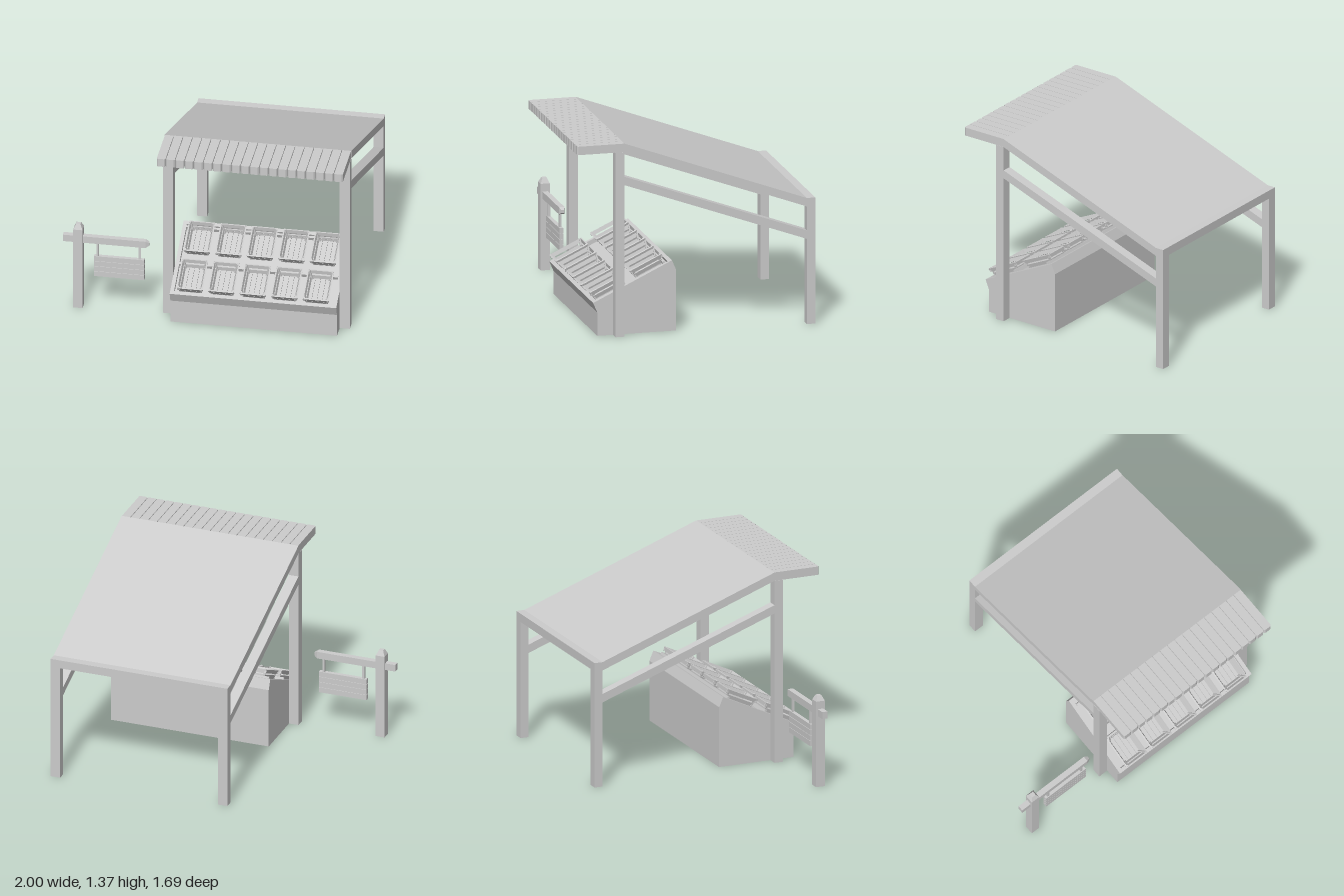
import * as THREE from 'three';

const mat = new THREE.MeshStandardMaterial({ color: 0xcccccc, flatShading: true });

function mesh(parent, name, geo) {
  const m = new THREE.Mesh(geo, mat);
  m.name = name;
  parent.add(m);
  return m;
}

// Box given by its limits on each axis
function block(parent, name, x0, x1, y0, y1, z0, z1) {
  const m = mesh(parent, name, new THREE.BoxGeometry(x1 - x0, y1 - y0, z1 - z0));
  m.position.set((x0 + x1) / 2, (y0 + y1) / 2, (z0 + z1) / 2);
  return m;
}

// Side profile of [z, y] points extruded from x0 to x1
function profile(parent, name, pts, x0, x1) {
  const shape = new THREE.Shape(pts.map(([z, y]) => new THREE.Vector2(-z, y)));
  const geo = new THREE.ExtrudeGeometry(shape, { depth: x1 - x0, bevelEnabled: false });
  geo.rotateY(Math.PI / 2).translate(x0, 0, 0);
  return mesh(parent, name, geo);
}

const L = -0.305, R = 0.995, POST = 0.07;
const SLOPE = Math.atan2(0.265, 0.56);
const surfaceY = z => 0.235 + (0.715 - z) * Math.tan(SLOPE);

function buildShelter() {
  const g = new THREE.Group();
  g.name = 'shelter';
  for (const x of [L, R - POST]) {
    block(g, 'frontPost', x, x + POST, 0, 1.31, 0.51, 0.575);
    block(g, 'backPost', x, x + POST, 0, 0.84, -0.845, -0.785);
    profile(g, 'sideRail', [[0.51, 1.075], [-0.785, 0.605], [-0.785, 0.665], [0.51, 1.135]], x, x + POST);
  }
  // Sloping roof with a level strip along the back beam
  profile(g, 'roofSlope', [[0.51, 1.31], [-0.785, 0.835], [-0.845, 0.835], [-0.845, 0.895],
    [-0.785, 0.895], [0.51, 1.37]], L, R);
  // Level awning slats with clipped front corners
  const n = 20, w = (R - L) / n, gap = 0.002, c = 0.008;
  for (let i = 0; i < n; i++) {
    const a = L + i * w + gap, b = L + (i + 1) * w - gap;
    const s = new THREE.Shape([[a, -0.51], [a, c - 0.845], [a + c, -0.845], [b - c, -0.845], [b, c - 0.845], [b, -0.51]]
      .map(p => new THREE.Vector2(...p)));
    const geo = new THREE.ExtrudeGeometry(s, { depth: 0.06, bevelEnabled: false });
    geo.rotateX(-Math.PI / 2).translate(0, 1.31, 0);
    mesh(g, 'awningSlat', geo);
  }
  return g;
}

function buildCrate() {
  const g = new THREE.Group();
  g.name = 'crate';
  // Flared walls of two stacked planks
  const levels = [{ y: 0.01, hx: 0.072, hz: 0.104 }, { y: 0.046, hx: 0.083, hz: 0.118 }];
  for (const { y, hx, hz } of levels) {
    for (const s of [-1, 1]) {
      const end = mesh(g, 'endPlank', new THREE.BoxGeometry(hx * 2 + 0.012, 0.027, 0.01));
      end.position.set(0, y, s * hz);
      end.rotation.x = s * 0.3;
      const side = mesh(g, 'sidePlank', new THREE.BoxGeometry(0.01, 0.027, hz * 2 + 0.012));
      side.position.set(s * hx, y, 0);
      side.rotation.z = -s * 0.3;
    }
  }
  // Inner corner battens leaning with the walls
  for (const sx of [-1, 1]) for (const sz of [-1, 1]) {
    const b = mesh(g, 'cornerBatten', new THREE.BoxGeometry(0.014, 0.08, 0.014));
    b.position.set(sx * 0.07, 0.024, sz * 0.101);
    b.rotation.set(sz * 0.33, 0, -sx * 0.3);
  }
  // Slatted floor
  for (let i = 0; i < 4; i++) {
    const x = -0.054 + i * 0.036;
    block(g, 'floorSlat', x - 0.015, x + 0.015, -0.012, -0.002, -0.104, 0.104);
  }
  return g;
}

function buildCounter() {
  const g = new THREE.Group();
  g.name = 'counter';
  const x0 = -0.235, x1 = 0.925, wall = 0.027;
  const base = [[0.125, 0], [0.685, 0], [0.685, 0.165], [0.715, 0.235]];
  const back = [[0.155, 0.5], [0.125, 0.43]];
  // End panels stand proud of the sunken display bed
  profile(g, 'endPanel', [...base, ...back], x0, x0 + wall);
  profile(g, 'endPanel', [...base, ...back], x1 - wall, x1);
  profile(g, 'counterBody', [...base, [0.69, 0.247], [0.677, 0.22], [0.167, 0.461], [0.18, 0.488], ...back],
    x0 + wall, x1 - wall);
  // Stop rails behind each crate row
  for (const z of [0.485, 0.205]) {
    const r = block(g, 'stopRail', x0 + wall, x1 - wall, -0.015, 0.012, -0.008, 0.008);
    r.position.y = surfaceY(z);
    r.position.z = z;
    r.rotation.x = SLOPE;
  }
  // Two rows of five crates
  for (const z of [0.59, 0.302]) {
    for (let i = 0; i < 5; i++) {
      const crate = buildCrate();
      crate.position.set(-0.095 + i * 0.2195, surfaceY(z), z);
      crate.rotation.x = SLOPE;
      g.add(crate);
    }
  }
  return g;
}

function buildSign() {
  const g = new THREE.Group();
  g.name = 'hangingSign';
  const z = 0.575, px = -0.893;
  block(g, 'signPost', px - 0.0325, px + 0.0325, 0, 0.615, z - 0.0325, z + 0.0325);
  const tip = new THREE.CylinderGeometry(0.022, 0.046, 0.037, 4).rotateY(Math.PI / 4);
  mesh(g, 'postTip', tip).position.set(px, 0.6335, z);
  // Crossbar with a tapered free end
  block(g, 'crossbar', -1, -0.425, 0.51, 0.56, z - 0.02, z + 0.02);
  const end = new THREE.CylinderGeometry(0.3, Math.SQRT1_2, 1, 4).rotateY(Math.PI / 4);
  end.rotateZ(-Math.PI / 2).scale(0.025, 0.05, 0.04);
  mesh(g, 'crossbarTip', end).position.set(-0.4125, 0.535, z);
  for (const x of [-0.76, -0.467]) block(g, 'hanger', x - 0.008, x + 0.008, 0.40, 0.512, z - 0.008, z + 0.008);
  // Board of four planks on a thin backing
  block(g, 'boardCore', -0.782, -0.438, 0.253, 0.407, z - 0.009, z + 0.009);
  for (let i = 0; i < 4; i++) {
    const y = 0.25 + i * 0.04;
    block(g, 'boardPlank', -0.785, -0.435, y + 0.0015, y + 0.0385, z - 0.014, z + 0.014);
  }
  return g;
}

export function createModel() {
  const model = new THREE.Group();
  model.name = 'marketStall';
  model.add(buildShelter(), buildCounter(), buildSign());
  return model;
}
